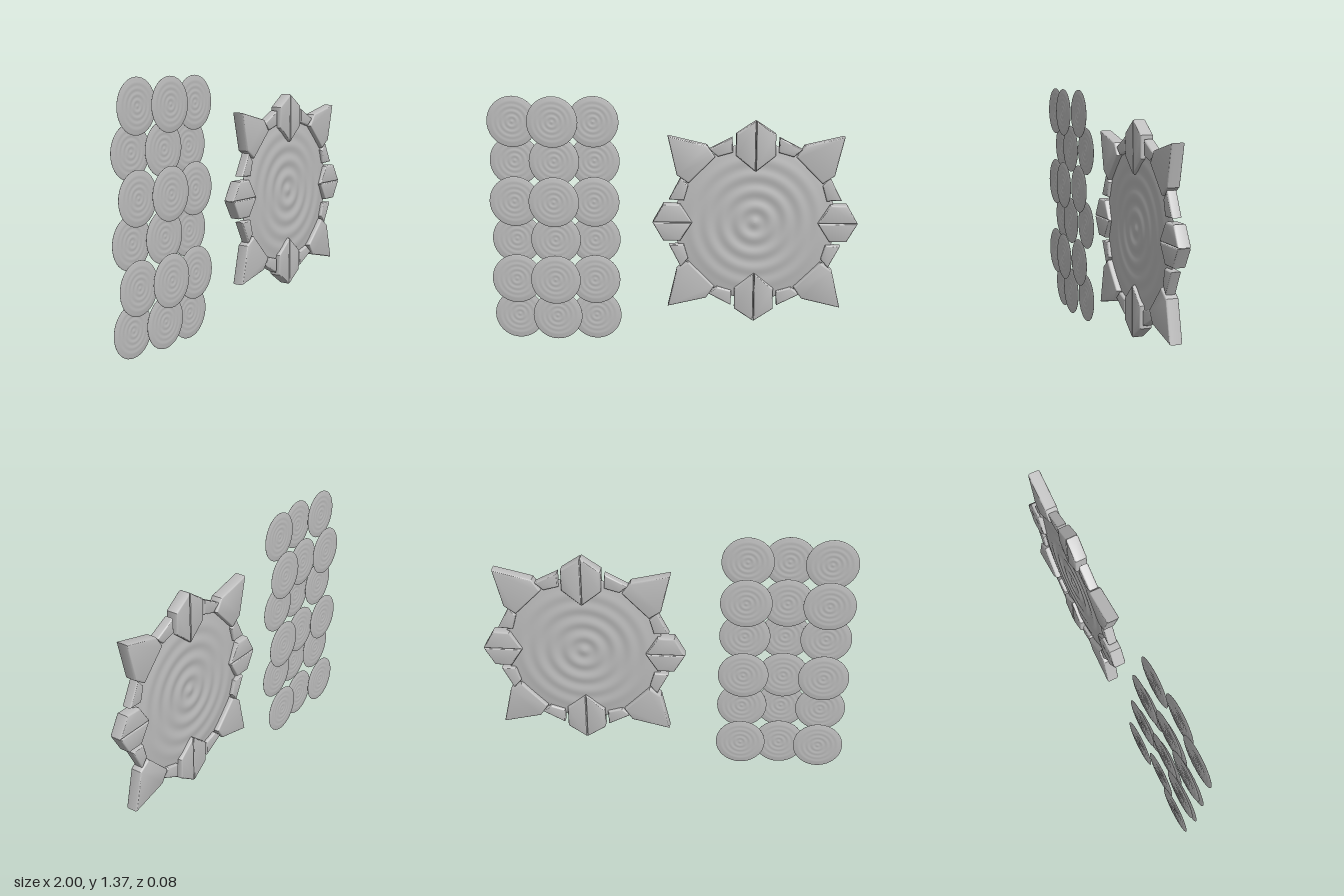
import * as THREE from 'three';
import { toCreasedNormals } from 'three/addons/utils/BufferGeometryUtils.js';

const stone = new THREE.MeshStandardMaterial({ color: 0xbebebe });
stone.name = 'grey stone';

// Lens-shaped disc with concentric ripples on both faces, facing +z
function rippledDisc(radius, steps, segments) {
  const half = [];
  for (let i = 0; i <= steps; i++) {
    const t = i / steps;
    const body = 0.034 * (1 - Math.pow(t, 8)) + 0.004;
    const wave = 0.008 * Math.cos(t * Math.PI * 2 * 5) * (1 - Math.pow(t, 4)) * (0.6 + 0.4 * (1 - t));
    half.push([t * radius, (body + wave) * radius]);
  }
  const profile = [
    ...half.map(([r, h]) => new THREE.Vector2(r, -h)),
    ...half.reverse().map(([r, h]) => new THREE.Vector2(r, h)),
  ];
  return new THREE.LatheGeometry(profile, segments).rotateX(Math.PI / 2);
}

// Rounded slab from an outline, centred on z = 0
function slab(points, depth, bevel) {
  const shape = new THREE.Shape(points.map(([x, y]) => new THREE.Vector2(x, y)));
  const geo = new THREE.ExtrudeGeometry(shape, {
    depth: depth - 2 * bevel,
    bevelEnabled: true,
    bevelThickness: bevel,
    bevelSize: bevel,
    bevelOffset: -bevel,
    bevelSegments: 3,
  });
  geo.translate(0, 0, bevel - depth / 2);
  return toCreasedNormals(geo, 0.6);
}

function add(parent, name, geo) {
  const mesh = new THREE.Mesh(geo, stone);
  mesh.name = name;
  parent.add(mesh);
  return mesh;
}

export function createModel() {
  const model = new THREE.Group();
  model.name = 'portalAndDiscs';

  // Three columns of overlapping discs in four staggered layers
  const discs = new THREE.Group();
  discs.name = 'discWall';
  model.add(discs);
  const smallDisc = rippledDisc(0.1375, 26, 40);
  for (let row = 0; row < 6; row++) {
    for (let col = 0; col < 3; col++) {
      const z = (row % 2 ? 0.012 : -0.032) + (col === 1 ? 0.022 : 0);
      add(discs, 'smallDisc', smallDisc).position.set(-0.8625 + col * 0.2175, 0.14 + row * 0.2182, z);
    }
  }

  // Round portal with its crown of stones
  const portal = new THREE.Group();
  portal.name = 'portal';
  portal.position.set(0.445, 0.685, -0.008);
  model.add(portal);
  add(portal, 'portalDisc', rippledDisc(0.435, 48, 72));

  const deep = 0.068;
  const corner = [[0.473, 0.473], [0.262, 0.424], [0.218, 0.36], [0.36, 0.218], [0.424, 0.262]];
  const filler = [[0.25, 0.402], [0.126, 0.466], [0.122, 0.385], [0.203, 0.362]];
  const tallHalf = [[0.001, 0.555], [0.106, 0.485], [0.106, 0.368], [0.001, 0.283]];
  const wideHalf = [[0.001, 0.555], [0.102, 0.497], [0.102, 0.405], [0.001, 0.34]];

  for (const sx of [-1, 1]) {
    for (const sy of [-1, 1]) {
      const mirror = (pts) => pts.map(([x, y]) => [x * sx, y * sy]);
      const swap = (pts) => pts.map(([x, y]) => [y, x]);
      add(portal, 'cornerStone', slab(mirror(corner), deep, 0.01));
      add(portal, 'fillerStone', slab(mirror(filler), 0.052, 0.009));
      add(portal, 'fillerStone', slab(mirror(swap(filler)), 0.052, 0.009));
      // Two halves meet in a groove to make each pointed stone
      add(portal, 'uprightPointHalf', slab(mirror(tallHalf), deep, 0.01));
      add(portal, 'sidePointHalf', slab(mirror(swap(wideHalf)), deep, 0.01));
    }
  }
  return model;
}
